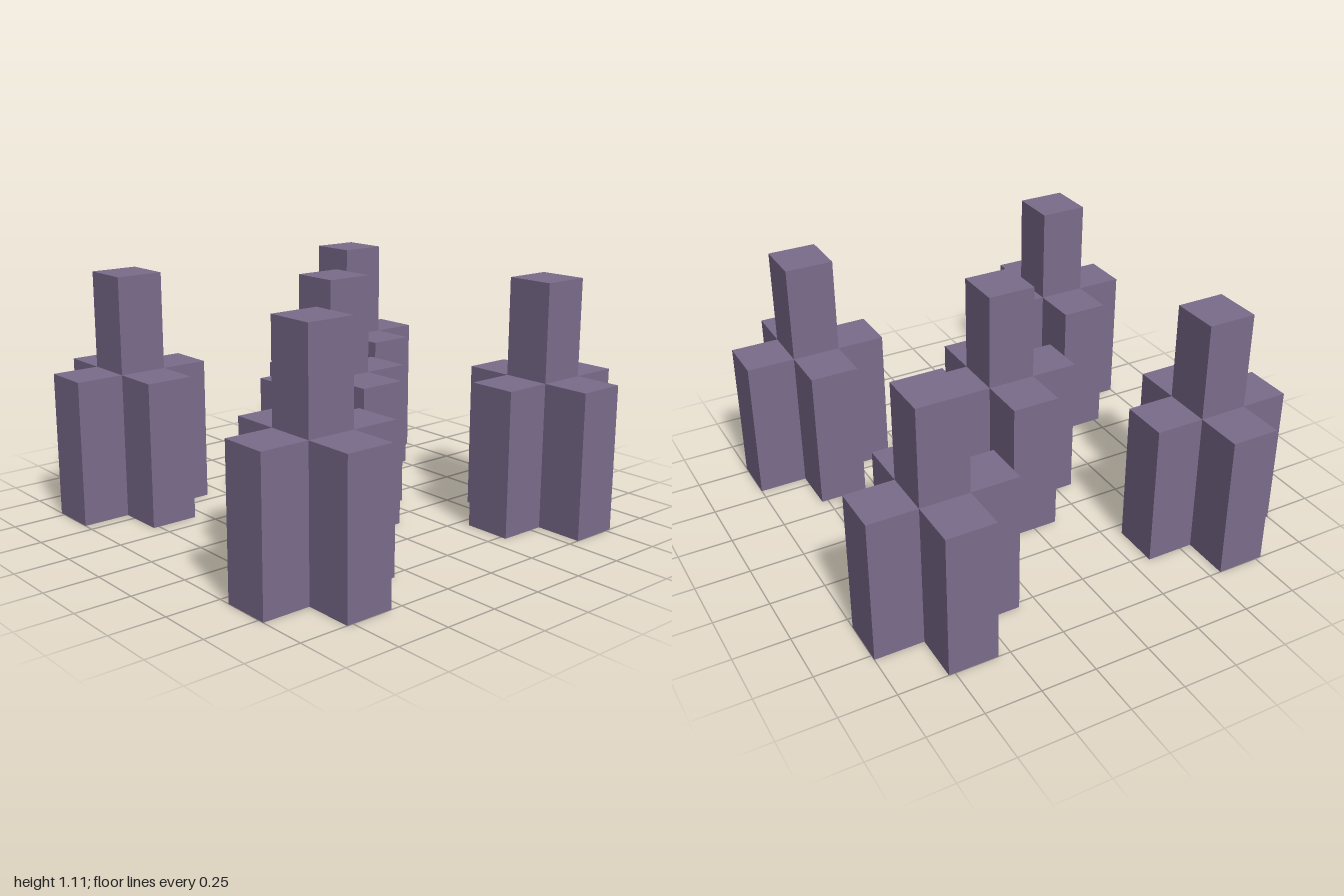
import * as THREE from 'three';

const U = 2 / 9; // one block width

export function createModel() {
  const model = new THREE.Group();
  model.name = 'crossTowers';

  const purple = new THREE.MeshStandardMaterial({ color: 0x7a6c8c });
  purple.name = 'dusty purple';

  // Plus-shaped base, three blocks wide and three high
  const a = U / 2, b = 1.5 * U;
  const plus = new THREE.Shape([
    [a, -b], [a, -a], [b, -a], [b, a], [a, a], [a, b],
    [-a, b], [-a, a], [-b, a], [-b, -a], [-a, -a], [-a, -b],
  ].map(([x, y]) => new THREE.Vector2(x, y)));
  const baseGeometry = new THREE.ExtrudeGeometry(plus, { depth: 3 * U, bevelEnabled: false });
  baseGeometry.rotateX(-Math.PI / 2);

  // Square column, two blocks high, on the middle of the base
  const columnGeometry = new THREE.BoxGeometry(U, 2 * U, U);
  columnGeometry.translate(0, 4 * U, 0);

  const addTower = (name, x, z) => {
    const tower = new THREE.Group();
    tower.name = name;
    const base = new THREE.Mesh(baseGeometry, purple);
    base.name = 'crossBase';
    const column = new THREE.Mesh(columnGeometry, purple);
    column.name = 'topColumn';
    tower.add(base, column);
    tower.position.set(x, 0, z);
    model.add(tower);
  };

  // One tower in the centre and one at each corner
  addTower('centreTower', 0, 0);
  for (const sx of [-1, 1]) {
    for (const sz of [-1, 1]) {
      const name = (sz > 0 ? 'front' : 'back') + (sx > 0 ? 'Left' : 'Right') + 'Tower';
      addTower(name, sx * 3 * U, sz * 3 * U);
    }
  }
  return model;
}
